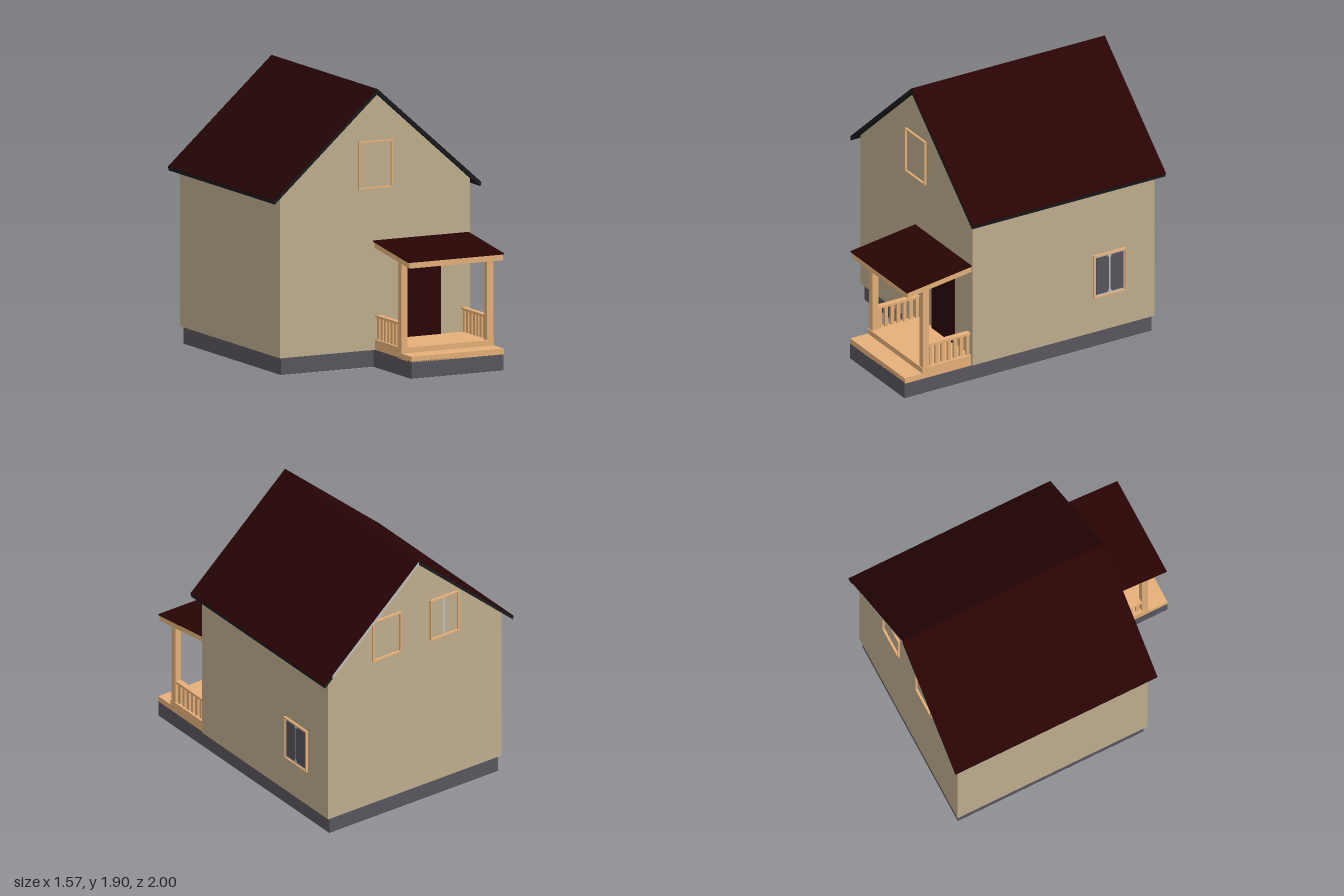
import * as THREE from 'three';

const mat = (name, color) => Object.assign(new THREE.MeshStandardMaterial({ color }), { name });

export function createModel() {
  const M = {
    wall: mat('wall beige', 0xbfae8e),
    roof: mat('roof dark red', 0x280404),
    trim: mat('trim black', 0x191b1f),
    wood: mat('wood', 0xe6b079),
    stone: mat('foundation grey', 0x59565e),
    door: mat('door red', 0x2a0408),
    grey: mat('light grey', 0xbebebe),
    glass: mat('glass', 0x57535c),
    knob: mat('knob black', 0x0a0808),
  };
  const house = new THREE.Group();
  house.name = 'house';

  const add = (name, geometry, material, parent = house) => {
    const mesh = new THREE.Mesh(geometry, material);
    mesh.name = name;
    parent.add(mesh);
    return mesh;
  };
  const box = (name, material, x0, x1, y0, y1, z0, z1, parent = house) => {
    const m = add(name, new THREE.BoxGeometry(x1 - x0, y1 - y0, z1 - z0), material, parent);
    m.position.set((x0 + x1) / 2, (y0 + y1) / 2, (z0 + z1) / 2);
    return m;
  };
  const shape = pts => new THREE.Shape(pts.map(p => new THREE.Vector2(...p)));
  const extrude = (s, depth) => new THREE.ExtrudeGeometry(s, { depth, bevelEnabled: false });
  // profile in (x, y), swept from z0 to z1
  const prismZ = (pts, z0, z1) => extrude(shape(pts), z1 - z0).translate(0, 0, z0);
  // profile in (z, y), swept from x0 to x1
  const prismX = (pts, x0, x1) =>
    extrude(shape(pts.map(([z, y]) => [-z, y])), x1 - x0).rotateY(Math.PI / 2).translate(x0, 0, 0);

  // L-shaped foundation with its underside
  const plan = [[-0.7, 0.94], [-0.7, -0.46], [0, -0.46], [0, -1], [0.7, -1], [0.7, 0.94]];
  const slab = (y0, y1) => extrude(shape(plan), y1 - y0).rotateX(-Math.PI / 2).translate(0, y0, 0);
  add('foundation', slab(0.002, 0.12), M.stone);
  add('foundationUnderside', slab(0, 0.002), M.grey);

  // Walls with gables
  add('walls', prismZ([[-0.72, 0.12], [0.72, 0.12], [0.72, 1.232], [0, 1.87], [-0.72, 1.232]], -0.952, 0.48), M.wall);

  // Main roof: dark board with a thin red covering on each slope
  for (const s of [-1, 1]) {
    const side = s > 0 ? 'left' : 'right';
    const board = [[0, 1.896], [0.785, 1.2], [0.78, 1.177], [0, 1.868]];
    const skin = [[0, 1.9], [0.786, 1.204], [0.785, 1.2], [0, 1.896]];
    const flip = pts => pts.map(([x, y]) => [s * x, y]);
    add(side + 'RoofBoard', prismZ(flip(board), -0.999, 0.52), M.trim);
    add(side + 'RoofCovering', prismZ(flip(skin), -1, 0.521), M.roof);
    // pale rear edge on one slope
    if (s > 0) add('rearRoofEdge', prismZ([[0, 1.896], [0.72, 1.257], [0.72, 1.23], [0, 1.868]], -1, -0.998), M.grey);
  }

  // Window frames, built facing +z around their own centre
  const rect = (w, h) => [[-w / 2, -h / 2], [w / 2, -h / 2], [w / 2, h / 2], [-w / 2, h / 2]];
  const windowFrame = (name, w, h, x, y, z, turn) => {
    const g = new THREE.Group();
    g.name = name;
    const s = shape(rect(w, h));
    s.holes.push(shape(rect(w - 0.02, h - 0.02)));
    add('frame', extrude(s, 0.016), M.wood, g);
    g.position.set(x, y, z);
    g.rotation.y = turn;
    house.add(g);
    return g;
  };
  windowFrame('frontWindow', 0.256, 0.325, 0, 1.382, 0.48, 0);
  windowFrame('rearLeftWindow', 0.236, 0.31, 0.24, 1.376, -0.952, Math.PI);
  const rear = windowFrame('rearRightWindow', 0.236, 0.31, -0.24, 1.376, -0.952, Math.PI);
  box('mullion', M.grey, -0.008, 0.008, -0.145, 0.145, 0, 0.003, rear);

  // Side window with a pale sash and two panes, corners cut at the middle
  const sideWindow = windowFrame('sideWindow', 0.254, 0.318, 0.72, 0.537, -0.594, Math.PI / 2);
  box('sash', M.grey, -0.117, 0.117, -0.149, 0.149, 0, 0.006, sideWindow);
  for (const s of [-1, 1]) {
    const pane = [[0.018, -0.137], [0.106, -0.137], [0.106, 0.137], [0.018, 0.137], [0.005, 0.115], [0.005, -0.115]];
    add('pane', prismZ(pane.map(([x, y]) => [s * x, y]), 0.006, 0.008), M.glass, sideWindow);
  }

  // Front door
  box('door', M.door, 0.215, 0.495, 0.19, 0.71, 0.48, 0.493);
  const knob = add('doorKnob', new THREE.SphereGeometry(0.007, 12, 8), M.knob);
  knob.position.set(0.253, 0.44, 0.499);

  // Porch deck and step
  const porch = new THREE.Group();
  porch.name = 'porch';
  house.add(porch);
  box('deck', M.wood, 0, 0.702, 0.112, 0.19, 0.475, 0.862, porch);
  box('step', M.wood, 0, 0.702, 0.112, 0.152, 0.862, 1, porch);

  // Posts and railings on both sides
  for (const s of [-1, 1]) {
    const cx = 0.351 + s * 0.325;
    box('post', M.wood, cx - 0.024, cx + 0.024, 0.19, 0.78, 0.81, 0.855, porch);
    box('handRail', M.wood, cx - 0.02, cx + 0.02, 0.338, 0.355, 0.48, 0.81, porch);
    for (let i = 0; i < 7; i++) {
      const z = 0.494 + i * 0.0485;
      box('baluster', M.wood, cx - 0.01, cx + 0.01, 0.19, 0.338, z - 0.013, z + 0.013, porch);
    }
  }

  // Sloping porch roof: wooden base and red covering
  add('porchRoofFrame', prismX([[0.48, 0.816], [0.982, 0.749], [0.982, 0.79], [0.48, 0.857]], -0.004, 0.706), M.wood, porch);
  add('porchRoofCovering', prismX([[0.48, 0.857], [0.988, 0.789], [0.988, 0.797], [0.48, 0.865]], -0.015, 0.711), M.roof, porch);

  return house;
}
